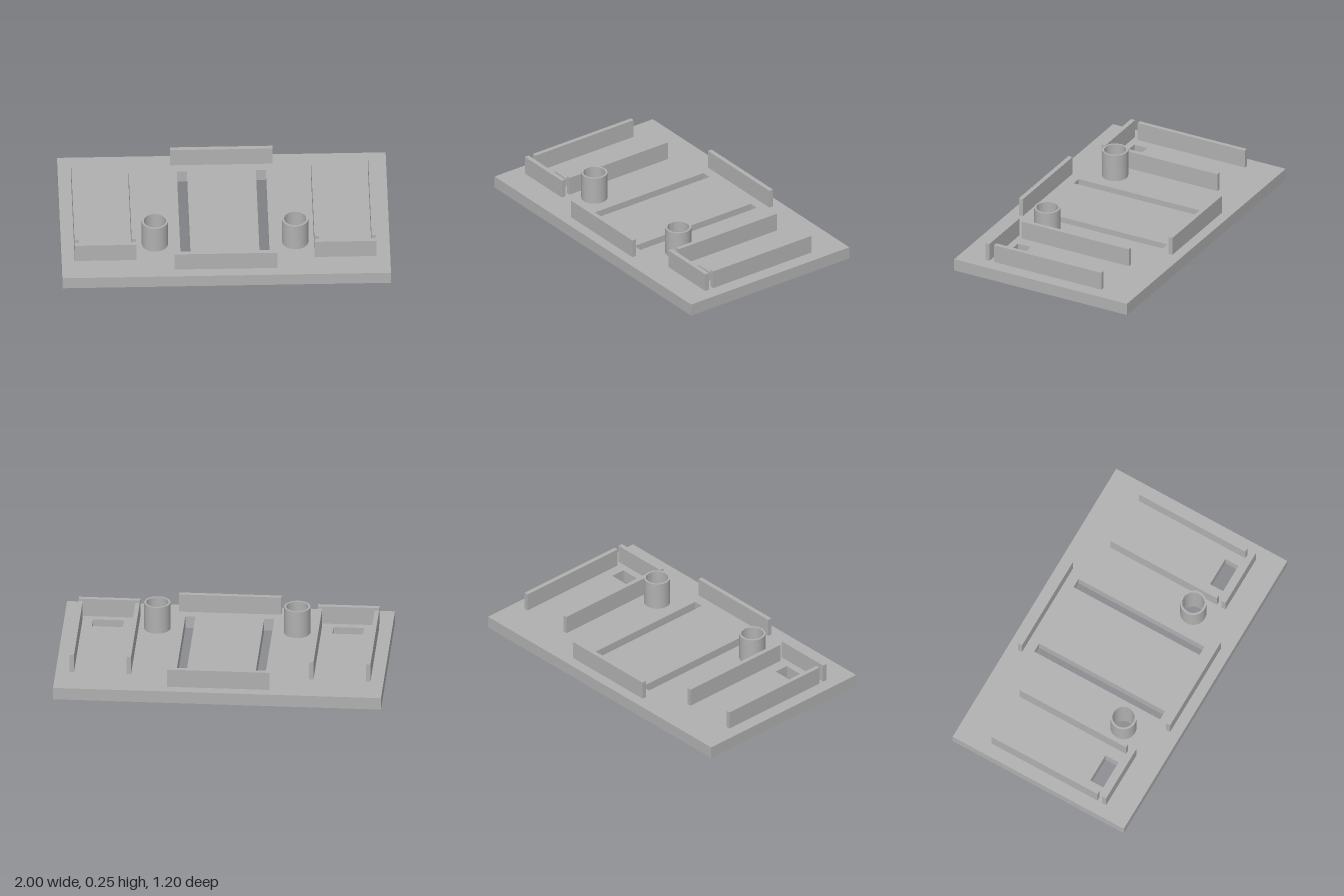
import * as THREE from 'three';
import { toCreasedNormals } from 'three/addons/utils/BufferGeometryUtils.js';

const BASE_TOP = 0.077, WALL_TOP = 0.193, POST_TOP = 0.252;
const POST_Z = 0.27, POST_R = 0.08, BORE_R = 0.067;
const POSTS_X = [-0.428, 0.426];

export function createModel() {
  const group = new THREE.Group();
  const grey = new THREE.MeshStandardMaterial({ color: 0xb0b0b0 });
  grey.name = 'plain grey';

  const add = (name, geometry) => {
    const mesh = new THREE.Mesh(geometry, grey);
    mesh.name = name;
    group.add(mesh);
    return mesh;
  };

  // Rectangle in plan; shape y is -z so the extrusion can be laid flat
  const rect = (Type, x0, x1, z0, z1) => new Type([
    new THREE.Vector2(x0, -z1), new THREE.Vector2(x1, -z1),
    new THREE.Vector2(x1, -z0), new THREE.Vector2(x0, -z0),
  ]);

  // Base plate with slots, windows and round bores cut through
  const plate = rect(THREE.Shape, -1, 1, -0.6, 0.6);
  plate.holes.push(
    rect(THREE.Path, -0.275, -0.214, -0.444, 0.439),
    rect(THREE.Path, 0.206, 0.267, -0.444, 0.439),
    rect(THREE.Path, -0.829, -0.642, 0.267, 0.358),
    rect(THREE.Path, 0.636, 0.824, 0.267, 0.358),
  );
  for (const x of POSTS_X) {
    plate.holes.push(new THREE.Path().absarc(x, -POST_Z, BORE_R, 0, Math.PI * 2, true));
  }
  const plateGeometry = new THREE.ExtrudeGeometry(plate, { depth: BASE_TOP, bevelEnabled: false, curveSegments: 24 });
  plateGeometry.rotateX(-Math.PI / 2);
  add('basePlate', toCreasedNormals(plateGeometry, 0.6));

  // Hollow posts standing over the bores
  const profile = [[BORE_R, BASE_TOP], [POST_R, BASE_TOP], [POST_R, POST_TOP], [BORE_R, POST_TOP], [BORE_R, BASE_TOP]]
    .map(([r, y]) => new THREE.Vector2(r, y));
  const postGeometry = toCreasedNormals(new THREE.LatheGeometry(profile, 48), 0.6);
  POSTS_X.forEach((x, i) => {
    add(i ? 'leftPost' : 'rightPost', postGeometry).position.set(x, 0, POST_Z);
  });

  // Thin upright walls: name, x range, z range
  const walls = [
    ['rightOuterWall', -0.92, -0.893, -0.375, 0.37],
    ['rightInnerWall', -0.572, -0.545, -0.375, 0.37],
    ['leftInnerWall', 0.54, 0.567, -0.375, 0.37],
    ['leftOuterWall', 0.888, 0.915, -0.375, 0.37],
    ['rightEndWall', -0.92, -0.545, 0.402, 0.43],
    ['leftEndWall', 0.54, 0.915, 0.402, 0.43],
    ['middleFrontWall', -0.315, 0.31, 0.504, 0.532],
    ['middleBackWall', -0.315, 0.31, -0.535, -0.507],
  ];
  for (const [name, x0, x1, z0, z1] of walls) {
    add(name, new THREE.BoxGeometry(x1 - x0, WALL_TOP - BASE_TOP, z1 - z0))
      .position.set((x0 + x1) / 2, (BASE_TOP + WALL_TOP) / 2, (z0 + z1) / 2);
  }
  return group;
}
